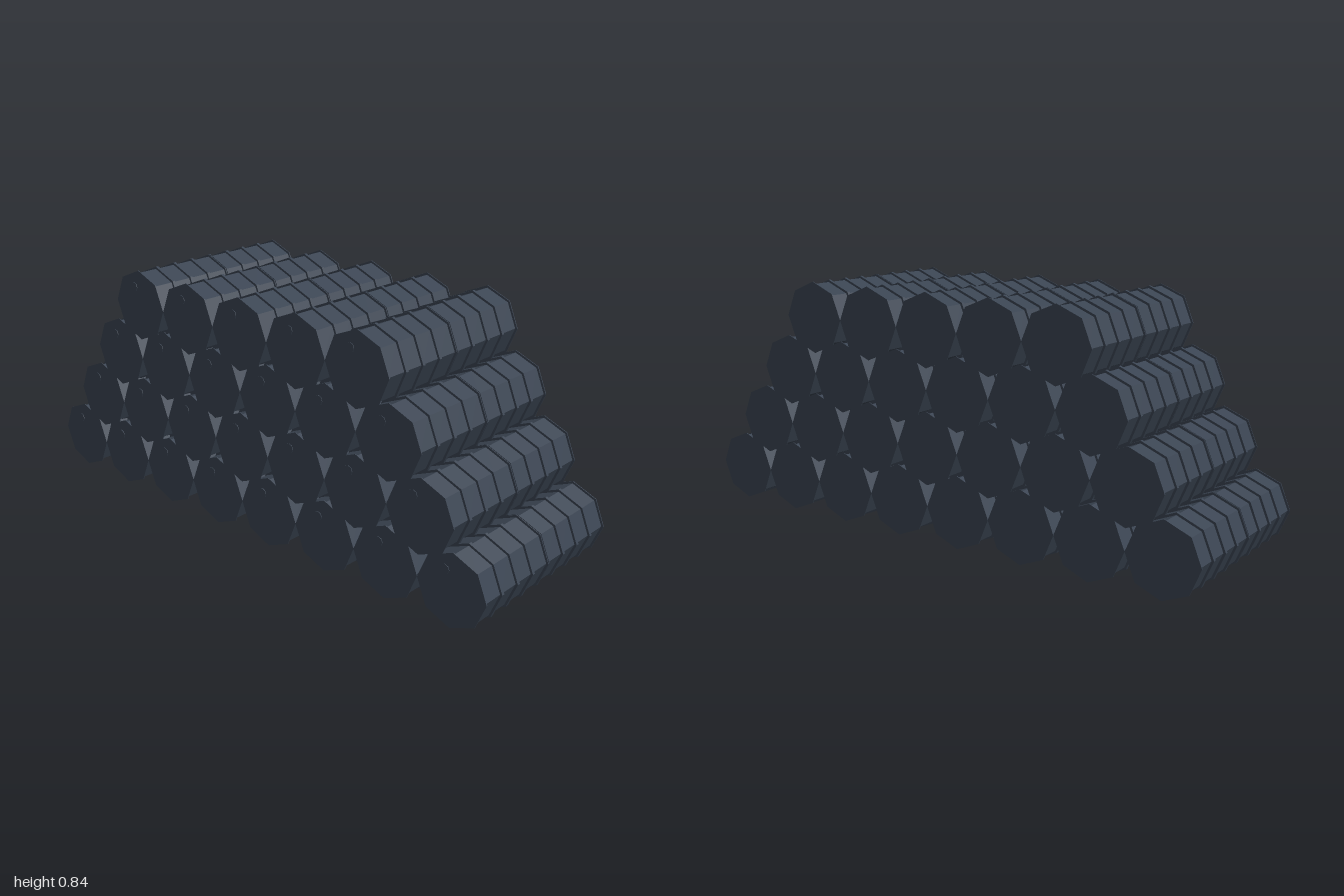
import * as THREE from 'three';

const R = 0.125;        // rib and rim radius
const BODY = 0.117;     // barrel wall radius
const LENGTH = 0.332;
const ROW_STEP = 0.198;

// Ribbed eight-sided barrel, axis along z, centred on the origin
function barrelGeometry() {
  const h = LENGTH / 2, rim = 0.003, rib = 0.0055;
  const profile = [[0, -h], [R, -h], [R, -h + rim], [BODY, -h + rim]];
  for (const z of [-0.0815, 0, 0.0815]) {
    profile.push([BODY, z - rib], [R, z - rib], [R, z + rib], [BODY, z + rib]);
  }
  profile.push([BODY, h - rim], [R, h - rim], [R, h], [0, h]);
  const geo = new THREE.LatheGeometry(profile.map(([x, y]) => new THREE.Vector2(x, y)), 8);
  return geo.rotateX(Math.PI / 2);
}

export function createModel() {
  const model = new THREE.Group();
  model.name = 'barrelStack';
  const material = new THREE.MeshStandardMaterial({ color: 0x3a4452, flatShading: true });
  const barrelGeo = barrelGeometry();
  const capGeo = new THREE.CylinderGeometry(0.017, 0.017, 0.004, 8).rotateX(Math.PI / 2);

  // Rows of 8, 7, 6 and 5 barrels, two deep
  for (let row = 0; row < 4; row++) {
    const count = 8 - row;
    for (let i = 0; i < count; i++) {
      for (const side of [-1, 1]) {
        const barrel = new THREE.Group();
        barrel.name = 'barrel';
        barrel.position.set((i - (count - 1) / 2) * 0.25, R + row * ROW_STEP, side * 0.1675);

        const drum = new THREE.Mesh(barrelGeo, material);
        drum.name = 'drum';

        // Filler cap on the front end
        const cap = new THREE.Mesh(capGeo, material);
        cap.name = 'fillerCap';
        cap.position.set(-0.026, 0.063, LENGTH / 2);

        barrel.add(drum, cap);
        model.add(barrel);
      }
    }
  }
  return model;
}
